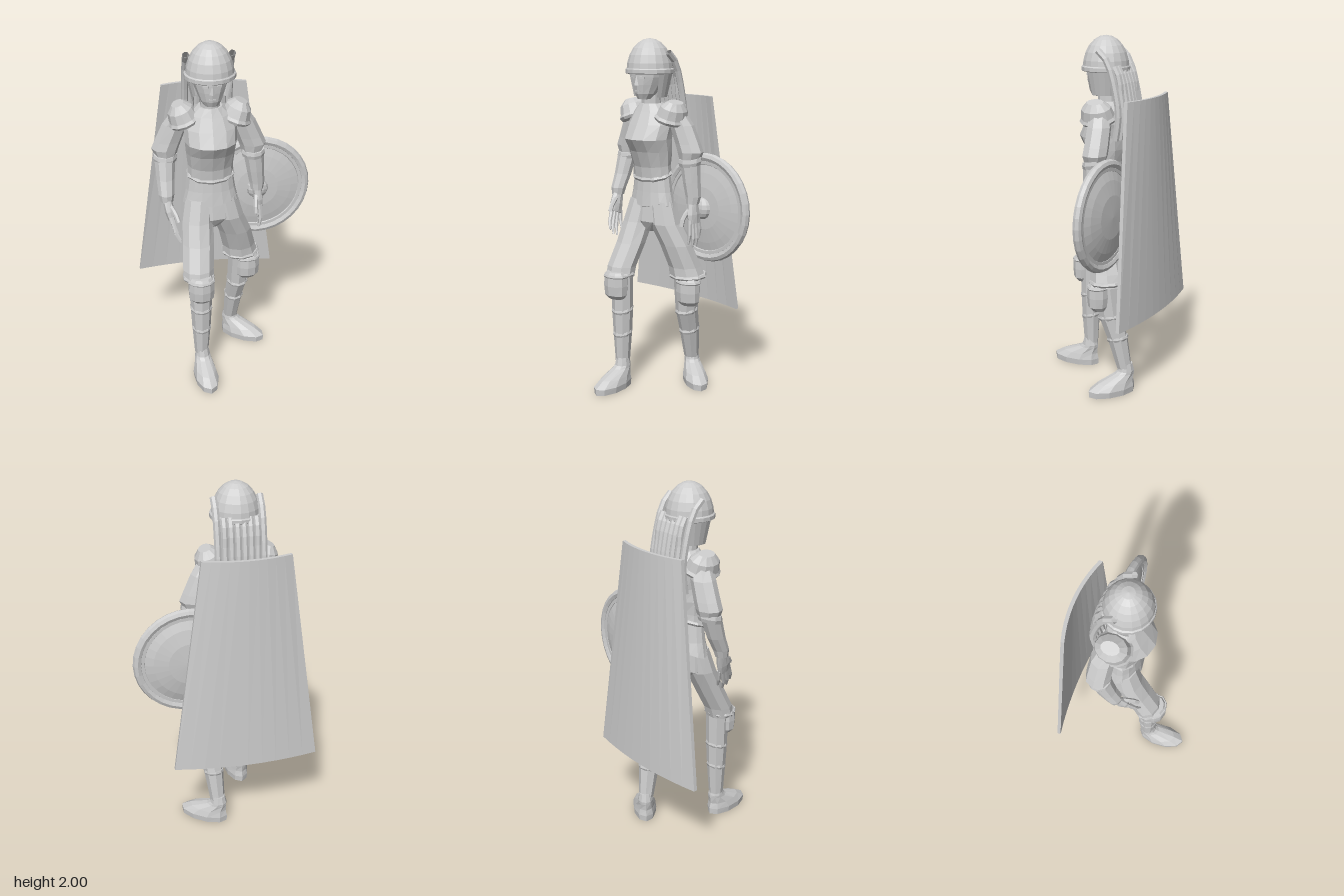
import * as THREE from 'three';

const steel = new THREE.MeshStandardMaterial({ color: 0xcccccc });
steel.name = 'plain grey';
steel.side = THREE.DoubleSide;
const CX = -0.095; // body axis

// Faceted mesh: one normal per face
function mesh(name, geometry, parent) {
  const g = geometry.index ? geometry.toNonIndexed() : geometry;
  g.computeVertexNormals();
  const m = new THREE.Mesh(g, steel);
  m.name = name;
  parent.add(m);
  return m;
}

// Closed skin over elliptical rings listed from the bottom up:
// [x, y, z, radiusX, radiusZ, frontDrop, wave]
function loft(rings, n = 10) {
  const pos = [], idx = [];
  for (const [x, y, z, rx, rz, drop = 0, wave = 0] of rings) {
    for (let i = 0; i < n; i++) {
      const a = (i / n) * Math.PI * 2;
      pos.push(x + rx * Math.sin(a), y - drop * Math.cos(a) + wave * Math.cos(4 * a), z + rz * Math.cos(a));
    }
  }
  for (let r = 0; r < rings.length - 1; r++) {
    for (let i = 0; i < n; i++) {
      const a = r * n + i, b = r * n + (i + 1) % n;
      idx.push(a, b, b + n, a, b + n, a + n);
    }
  }
  const last = (rings.length - 1) * n;
  for (let i = 1; i < n - 1; i++) idx.push(0, i + 1, i, last, last + i, last + i + 1);
  const g = new THREE.BufferGeometry();
  g.setAttribute('position', new THREE.Float32BufferAttribute(pos, 3));
  g.setIndex(idx);
  return g;
}

function tube(points, r, steps, sides) {
  const curve = new THREE.CatmullRomCurve3(points.map(p => new THREE.Vector3(...p)));
  return new THREE.TubeGeometry(curve, steps, r, sides);
}

// Raised flared band around a limb
const band = (x, y, z, rx, rz, drop = 0.012, h = 0.025) => loft([
  [x, y - h / 2, z, rx * 0.97, rz * 0.97, drop], [x, y, z, rx * 1.06, rz * 1.06, drop],
  [x, y + h / 2, z, rx, rz, drop]], 10);

function buildHead(root) {
  const head = new THREE.Group();
  head.name = 'head';
  root.add(head);
  mesh('neck', loft([[CX, 1.57, -0.03, 0.058, 0.058], [CX, 1.74, -0.02, 0.05, 0.05]]), head);
  mesh('face', loft([
    [CX, 1.67, 0.03, 0.038, 0.036], [CX, 1.70, 0.018, 0.06, 0.062], [CX, 1.75, 0, 0.08, 0.088],
    [CX, 1.79, -0.01, 0.095, 0.1], [CX, 1.85, -0.015, 0.105, 0.105]], 12), head);
  const nose = mesh('nose', new THREE.ConeGeometry(0.016, 0.055, 4), head);
  nose.position.set(CX, 1.775, 0.09);
  mesh('mouth', new THREE.BoxGeometry(0.035, 0.008, 0.009), head).position.set(CX, 1.717, 0.078);
  for (const s of [-1, 1]) {
    const eye = mesh('eye', new THREE.BoxGeometry(0.028, 0.012, 0.008), head);
    eye.position.set(CX + s * 0.036, 1.788, 0.082);
    eye.rotation.y = s * 0.38;
  }
  // Helmet bowl, rim and neck guard
  const profile = [];
  for (let i = 0; i <= 6; i++) {
    const a = (i / 6) * Math.PI / 2;
    profile.push(new THREE.Vector2(0.13 * Math.cos(a), 0.18 * Math.sin(a)));
  }
  mesh('helmet', new THREE.LatheGeometry(profile, 18), head).position.set(CX, 1.82, -0.015);
  mesh('helmetRim', loft([
    [CX, 1.808, -0.015, 0.13, 0.13], [CX, 1.812, -0.015, 0.138, 0.134],
    [CX, 1.832, -0.015, 0.138, 0.134], [CX, 1.838, -0.015, 0.13, 0.13]], 18), head);
  mesh('neckGuard', new THREE.CylinderGeometry(0.128, 0.096, 0.14, 14, 2, true, 1.2, Math.PI * 2 - 2.4), head)
    .position.set(CX, 1.75, -0.015);
  // Braids; the outer two start high on the helmet
  for (let i = 0; i < 8; i++) {
    const t = i / 3.5 - 1, x = CX + t * 0.122, outer = i === 0 || i === 7;
    const z = 0.02 * t * t;
    const start = outer ? [[x, 1.925, -0.035], [x, 1.87, -0.09]] : [[x, 1.84, -0.115], [x, 1.78, -0.145]];
    mesh('braid', tube([...start, [x, 1.7, -0.165 + z], [x, 1.58, -0.182 + z], [x, 1.45, -0.165 + z]], 0.019, 8, 7), head);
  }
}

function buildTorso(root) {
  mesh('breastplate', loft([
    [CX, 1.24, -0.035, 0.128, 0.08, 0.025], [CX, 1.30, -0.03, 0.126, 0.085, 0.01], [CX, 1.38, -0.02, 0.135, 0.108],
    [CX, 1.45, 0, 0.142, 0.13], [CX, 1.53, -0.025, 0.145, 0.115], [CX, 1.60, -0.035, 0.115, 0.09],
    [CX, 1.645, -0.03, 0.068, 0.065]], 12), root);
  mesh('breastplateTrim', band(CX, 1.245, -0.035, 0.13, 0.083, 0.028), root);
  mesh('waistSkirt', loft([
    [CX, 1.075, -0.04, 0.158, 0.09, 0, -0.012], [CX, 1.15, -0.037, 0.138, 0.079],
    [CX, 1.26, -0.035, 0.122, 0.07]], 16), root);
  mesh('hips', loft([
    [CX, 0.92, -0.03, 0.05, 0.05], [CX, 0.98, -0.035, 0.145, 0.088], [CX, 1.1, -0.04, 0.145, 0.08]], 12), root);
}

function buildArm(root, s, wristX, wristZ, tilt, lean) {
  const arm = new THREE.Group();
  arm.name = s > 0 ? 'leftArm' : 'rightArm';
  root.add(arm);
  const X = d => CX + s * d;
  // Shoulder plate with a flared lip
  const pauldron = mesh('shoulderPlate', loft([
    [0, -0.065, 0, 0.082, 0.098], [0, -0.05, 0, 0.092, 0.106], [0, -0.035, 0, 0.082, 0.096],
    [0, 0.015, 0, 0.07, 0.085], [0, 0.05, 0, 0.035, 0.05]], 12), arm);
  pauldron.position.set(X(0.155), 1.61, -0.045);
  pauldron.rotation.z = -s * 0.35;
  mesh('upperArm', loft([
    [X(0.24), 1.33, -0.085, 0.055, 0.055], [X(0.243), 1.385, -0.088, 0.076, 0.068],
    [X(0.225), 1.43, -0.087, 0.075, 0.067], [X(0.185), 1.53, -0.08, 0.07, 0.065],
    [X(0.15), 1.61, -0.06, 0.05, 0.055]], 8), arm);
  mesh('elbowCuff', band(X(0.245), 1.335, -0.083, 0.065, 0.06, 0.012, 0.04), arm);
  mesh('forearm', loft([
    [wristX, 1.10, wristZ, 0.036, 0.036], [wristX, 1.14, wristZ - 0.006, 0.044, 0.044],
    [(wristX + X(0.25)) / 2, 1.22, (wristZ - 0.085) / 2, 0.05, 0.05],
    [X(0.247), 1.34, -0.08, 0.06, 0.056]], 9), arm);
  // Hand hangs from the wrist
  const hand = new THREE.Group();
  hand.name = 'hand';
  hand.position.set(wristX, 1.11, wristZ);
  hand.rotation.set(lean, 0, tilt);
  arm.add(hand);
  mesh('palm', loft([
    [0, -0.12, 0, 0.02, 0.044], [0, -0.07, 0.003, 0.027, 0.045], [0, 0.01, 0, 0.027, 0.03]], 8), hand);
  for (let i = 0; i < 4; i++) {
    const z = (i - 1.5) * 0.022, l = i === 0 ? 0.21 : i === 3 ? 0.235 : 0.255;
    mesh('finger', loft([
      [-s * 0.018, -l, z * 1.4, 0.006, 0.006], [-s * 0.004, -l + 0.05, z * 1.3, 0.011, 0.011],
      [0, -0.1, z, 0.014, 0.013]], 6), hand);
  }
  mesh('thumb', tube([[-s * 0.01, -0.04, 0.02], [-s * 0.025, -0.085, 0.06], [-s * 0.03, -0.13, 0.075]], 0.013, 3, 6), hand);
}

// trousers and shin are ring lists; knee and ankle are [x, y, z]
function buildLeg(root, name, trousers, shin, knee, ankle, yaw) {
  const leg = new THREE.Group();
  leg.name = name;
  root.add(leg);
  mesh('trouserLeg', loft(trousers, 9), leg);
  const [hx, hy, hz, hrx, hrz] = trousers[0];
  mesh('trouserHem', band(hx, hy + 0.015, hz, hrx, hrz, 0.005), leg);
  const [kx, ky, kz] = knee;
  mesh('kneeGuard', loft([
    [kx, ky - 0.08, kz - 0.005, 0.05, 0.04], [kx, ky - 0.055, kz, 0.072, 0.058], [kx, ky, kz, 0.076, 0.064],
    [kx, ky + 0.055, kz, 0.074, 0.062], [kx, ky + 0.08, kz, 0.058, 0.046]], 10), leg);
  mesh('kneeTrim', band(kx, ky + 0.055, kz, 0.075, 0.062, 0, 0.02), leg);
  mesh('shinGuard', loft(shin, 8), leg);
  for (const [x, y, z, rx, rz] of shin.slice(1, 3)) mesh('shinBand', band(x, y, z, rx, rz), leg);
  const foot = mesh('shoe', loft([
    [0, 0, 0.09, 0.066, 0.143], [0, 0.035, 0.09, 0.07, 0.145], [0, 0.07, 0.065, 0.06, 0.112],
    [0, 0.11, 0.01, 0.046, 0.06], [0, 0.125, 0, 0.044, 0.05], [0, 0.17, 0, 0.036, 0.038]], 10), leg);
  foot.position.set(ankle[0], 0, ankle[2]);
  foot.rotation.y = yaw;
}

function buildRoundShield(root) {
  const shield = new THREE.Group();
  shield.name = 'roundShield';
  shield.position.set(0.19, 1.067, -0.173);
  root.add(shield);
  const profile = [[0, -0.052], [0.12, -0.046], [0.2, -0.03], [0.27, -0.005], [0.27, 0.005], [0.2, 0.02], [0.12, 0.032], [0, 0.037]];
  mesh('shieldBody', new THREE.LatheGeometry(profile.map(p => new THREE.Vector2(...p)), 28), shield).rotation.x = Math.PI / 2;
  mesh('shieldRim', new THREE.TorusGeometry(0.284, 0.025, 8, 32), shield);
  mesh('shieldInnerRim', new THREE.TorusGeometry(0.256, 0.018, 6, 32), shield);
  const boss = mesh('shieldBoss', new THREE.SphereGeometry(0.062, 12, 8), shield);
  boss.scale.z = 0.6;
  boss.position.z = 0.034;
}

// Tapered, leaning slab that bows backward
function buildBackShield(root) {
  const g = new THREE.BoxGeometry(2, 1, 0.02, 10, 1, 1);
  const p = g.attributes.position;
  for (let i = 0; i < p.count; i++) {
    const u = p.getX(i), t = p.getY(i) + 0.5;
    p.setXYZ(i, -0.098 + u * THREE.MathUtils.lerp(0.4075, 0.2375, t), 0.465 + t * 1.215,
      p.getZ(i) + THREE.MathUtils.lerp(-0.36, -0.307, t) + 0.04 * u * u);
  }
  mesh('backShield', g, root);
}

export function createModel() {
  const root = new THREE.Group();
  root.name = 'armouredFigure';
  buildHead(root);
  buildTorso(root);
  buildArm(root, -1, -0.345, 0.0, 0.18, -0.35);
  buildArm(root, 1, 0.175, -0.078, 0.12, 0);
  buildLeg(root, 'rightLeg',
    [[-0.19, 0.66, 0.135, 0.088, 0.075], [-0.19, 0.72, 0.12, 0.088, 0.078], [-0.18, 0.85, 0.055, 0.09, 0.078],
      [-0.175, 0.97, 0, 0.088, 0.085], [-0.16, 1.1, -0.03, 0.08, 0.075]],
    [[-0.18, 0.14, 0.13, 0.04, 0.043], [-0.178, 0.32, 0.13, 0.054, 0.054], [-0.178, 0.46, 0.13, 0.062, 0.06],
      [-0.18, 0.68, 0.13, 0.066, 0.062]],
    [-0.18, 0.615, 0.178], [-0.175, 0, 0.135], 0.1);
  buildLeg(root, 'leftLeg',
    [[0.09, 0.65, -0.137, 0.108, 0.1], [0.078, 0.72, -0.125, 0.097, 0.095], [0.047, 0.85, -0.08, 0.095, 0.088],
      [0, 0.97, -0.045, 0.092, 0.088], [-0.025, 1.1, -0.04, 0.08, 0.075]],
    [[0.045, 0.14, -0.222, 0.043, 0.043], [0.06, 0.32, -0.185, 0.056, 0.06], [0.075, 0.45, -0.145, 0.062, 0.068],
      [0.085, 0.66, -0.12, 0.066, 0.07]],
    [0.125, 0.58, -0.1], [0.042, 0, -0.23], 0.97);
  buildRoundShield(root);
  buildBackShield(root);
  return root;
}
